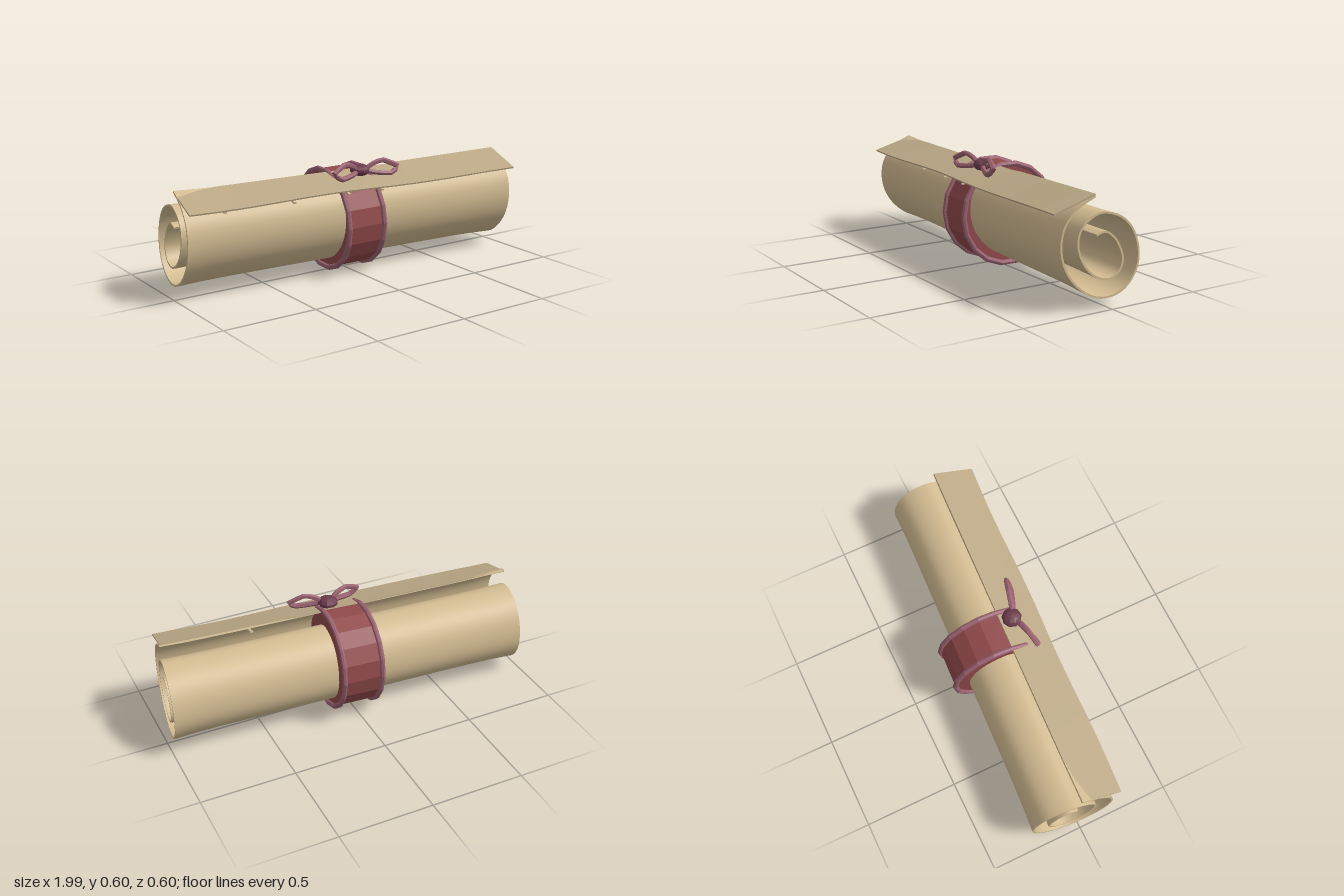
import * as THREE from 'three';
import { toCreasedNormals } from 'three/addons/utils/BufferGeometryUtils.js';

const mat = (name, color, extra = {}) => Object.assign(new THREE.MeshStandardMaterial({ color, ...extra }), { name });

// Moves every vertex of a geometry by a rule
function bend(geo, rule) {
  const p = geo.attributes.position, v = new THREE.Vector3();
  for (let i = 0; i < p.count; i++) {
    rule(v.fromBufferAttribute(p, i));
    p.setXYZ(i, v.x, v.y, v.z);
  }
  geo.computeVertexNormals();
  return geo;
}

export function createModel() {
  const model = new THREE.Group();
  model.name = 'tiedScroll';
  const paper = mat('paper', 0xd3bc92);
  const paperInside = mat('paperInside', 0xbba886);
  const band = mat('redBand', 0x91494a, { flatShading: true });
  const cord = mat('mauveCord', 0x9a6270, { flatShading: true });
  const knotMat = mat('darkKnot', 0x6c3c4c, { flatShading: true });

  // The roll lies along x, turned slightly about y
  const roll = new THREE.Group();
  roll.name = 'scroll';
  roll.rotation.y = -0.052;
  model.add(roll);
  const add = (parent, name, geo, material, x = 0, y = 0, z = 0) => {
    const m = new THREE.Mesh(geo, material);
    m.name = name;
    m.position.set(x, y, z);
    parent.add(m);
    return m;
  };

  // Rolled sheet: spiral section [z, y] with a thickness, extruded along x
  const spiral = [
    [0.025, 0.355], [-0.015, 0.368], [-0.05, 0.355], [-0.09, 0.31], [-0.118, 0.24], [-0.11, 0.19],
    [-0.08, 0.155], [-0.03, 0.143], [0.03, 0.165], [0.085, 0.22], [0.118, 0.3], [0.114, 0.37],
    [0.08, 0.42], [0.03, 0.45], [-0.015, 0.458], [-0.08, 0.442], [-0.14, 0.403], [-0.184, 0.335],
    [-0.204, 0.25], [-0.194, 0.175], [-0.15, 0.105], [-0.09, 0.067], [-0.015, 0.057], [0.06, 0.08],
    [0.13, 0.135], [0.183, 0.21], [0.207, 0.3], [0.198, 0.39], [0.16, 0.455], [0.11, 0.5], [0.035, 0.538],
  ];
  const curve = new THREE.SplineCurve(spiral.map(([z, y]) => new THREE.Vector2(-z, y)));
  const outer = [], inner = [], N = 84;
  for (let i = 0; i <= N; i++) {
    const p = curve.getPoint(i / N), t = curve.getTangent(i / N);
    const n = new THREE.Vector2(-t.y, t.x).multiplyScalar(0.005);
    outer.push(p.clone().add(n));
    inner.unshift(p.clone().sub(n));
  }
  const length = 1.944;
  let sheet = new THREE.ExtrudeGeometry(new THREE.Shape([...outer, ...inner]), { depth: length, steps: 16, bevelEnabled: false });
  sheet.translate(0, 0, -length / 2).rotateY(Math.PI / 2);
  // Slanted, slightly flared ends
  bend(sheet, (v) => {
    const flare = 1 + 0.035 * Math.pow(Math.abs(v.x) / 0.972, 8) - 0.025;
    v.x -= 0.06 * v.z;
    v.z *= flare;
    v.y = 0.3 + (v.y - 0.3) * flare;
  });
  add(roll, 'rolledSheet', toCreasedNormals(sheet, 0.7), paper);

  // Loose flap folded forward from the sheet's end, with an uneven edge
  const flap = new THREE.BoxGeometry(1.94, 0.008, 0.222, 24, 1, 1);
  flap.rotateX(0.31).translate(0, 0.505, 0.14);
  bend(flap, (v) => {
    if (v.z > 0.14) {
      v.y += 0.004 * Math.sin(v.x * 5 + 2.5);
      v.z += 0.004 * Math.sin(v.x * 7);
    } else v.y += v.x > 0.3 ? (v.x - 0.3) * 0.014 : -0.005;
    v.x -= 0.06 * v.z;
  });
  add(roll, 'looseFlap', toCreasedNormals(flap, 0.5), paperInside);

  // Small slivers of paper under the flap: x, centre y, centre z
  for (const [x, y, z] of [[-0.79, 0.468, 0.17], [-0.41, 0.465, 0.17], [0.48, 0.469, 0.112], [-0.11, 0.475, 0.195], [0.09, 0.475, 0.195]])
    add(roll, 'paperSliver', new THREE.BoxGeometry(0.014, 0.008, 0.11), paper, x, y, z).rotation.x = 0.3;

  // Band around the middle with a cord along each rim
  const ring = new THREE.Group();
  ring.name = 'band';
  ring.position.set(0, 0.277, -0.02);
  ring.rotation.z = 0.02;
  roll.add(ring);
  add(ring, 'bandBody', new THREE.CylinderGeometry(0.264, 0.264, 0.21, 18).rotateY(Math.PI / 2).rotateZ(Math.PI / 2).rotateX(Math.PI / 2), band);
  for (const s of [-1, 1])
    add(ring, 'bandRim', new THREE.TorusGeometry(0.265, 0.0145, 8, 18).rotateY(Math.PI / 2), cord, s * 0.105);

  // Bow: a knot and two pointed loops
  const bow = new THREE.Group();
  bow.name = 'bow';
  bow.position.set(0.04, 0.54, 0.1);
  model.add(bow);
  add(bow, 'knot', new THREE.SphereGeometry(0.053, 9, 7), knotMat).scale.set(1, 0.62, 1);
  const loop = [[0.02, 0.0, 0.015], [0.07, 0.034, 0.028], [0.12, 0.046, 0.04], [0.197, 0.01, 0.064], [0.155, -0.022, 0.07], [0.08, -0.016, 0.045]];
  for (const s of [-1, 1]) {
    const pts = loop.map(([x, y, z]) => new THREE.Vector3(s * x, y, s > 0 ? z : z * 0.85));
    const path = new THREE.CatmullRomCurve3(pts, true, 'catmullrom', 0.2);
    add(bow, s > 0 ? 'leftLoop' : 'rightLoop', new THREE.TubeGeometry(path, 14, 0.014, 6, true), cord);
  }
  return model;
}
